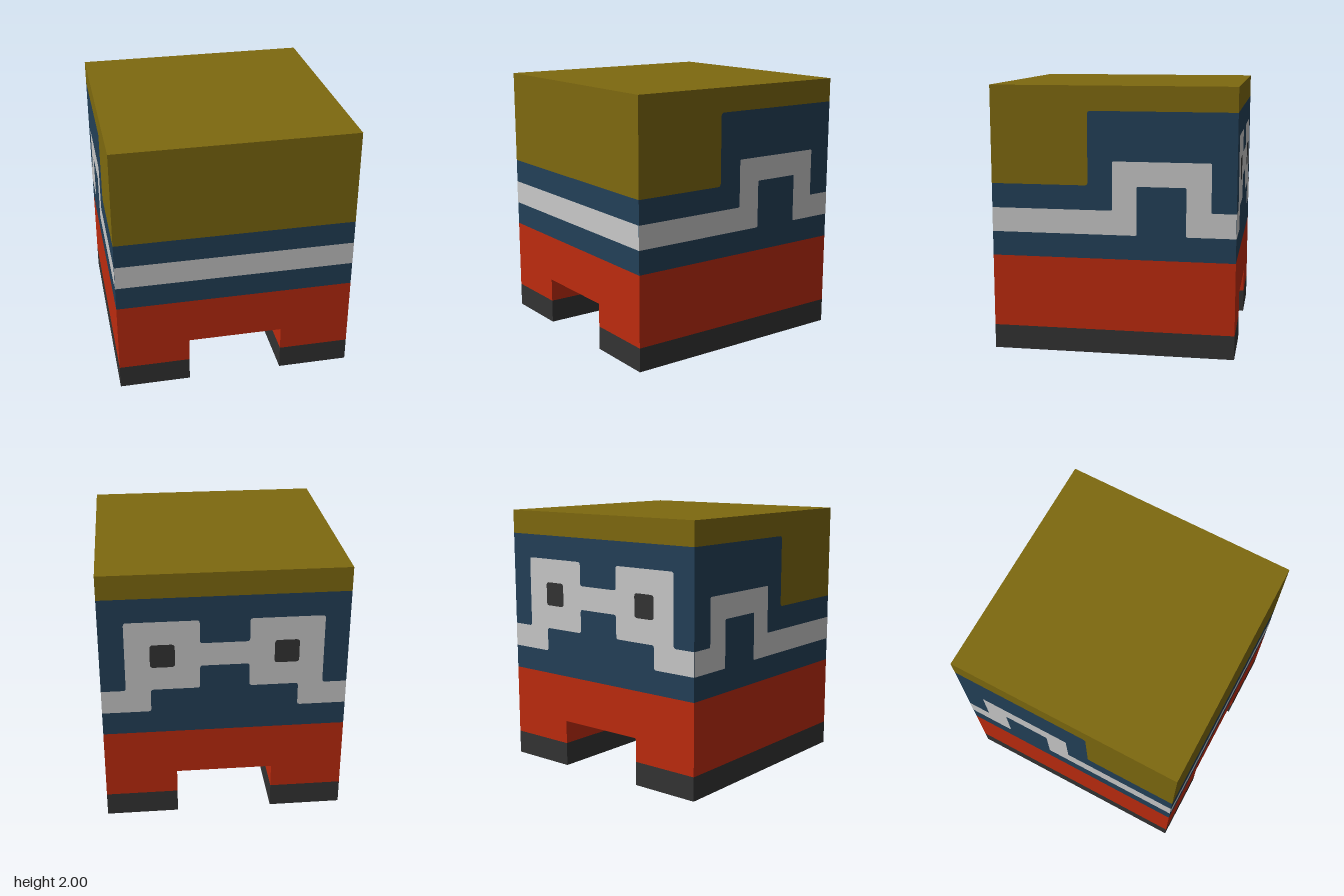
import * as THREE from 'three';

const C = 2 / 11;          // size of one cell: the block is 10 x 11 x 10 cells
const W = 10 * C;

const mat = (name, color) => new THREE.MeshStandardMaterial({ name, color });

// Outline from cell points [across, down from top]; corners off the side edges are rounded.
function outline(points, radius = 0) {
  const pts = points.map(([u, v]) => new THREE.Vector2((u - 5) * C, (11 - v) * C));
  const shape = new THREE.Shape();
  pts.forEach((p, i) => {
    const u = points[i][0];
    const r = u === 0 || u === 10 ? 0 : radius;
    const toward = (q) => p.clone().add(q.clone().sub(p).setLength(r));
    const a = toward(pts.at(i - 1));
    if (i === 0) shape.moveTo(a.x, a.y); else shape.lineTo(a.x, a.y);
    if (r > 0) {
      const b = toward(pts[(i + 1) % pts.length]);
      shape.quadraticCurveTo(p.x, p.y, b.x, b.y);
    }
  });
  shape.closePath();
  return shape;
}

export function createModel() {
  const group = new THREE.Group();
  const mustard = mat('mustard', 0x7e690f);
  const blue = mat('navyBlue', 0x234058);
  const grey = mat('lightGrey', 0xc9c9c9);
  const red = mat('red', 0xbd2b0e);
  const dark = mat('charcoal', 0x333333);

  const add = (name, geometry, material, turn = 0) => {
    const mesh = new THREE.Mesh(geometry, material);
    mesh.name = name;
    mesh.rotation.y = turn;
    group.add(mesh);
    return mesh;
  };

  // Outline pushed through the full width of the block
  const block = (points, radius) => new THREE.ExtrudeGeometry(outline(points, radius),
    { depth: W, bevelEnabled: false, curveSegments: 4 }).translate(0, 0, -W / 2);

  // Painted panel lying just outside one face of the block
  const panel = (points, radius, lift) =>
    new THREE.ShapeGeometry(outline(points, radius), 4).translate(0, 0, W / 2 + lift);

  // Shoes
  for (const [name, s] of [['leftShoe', 1], ['rightShoe', -1]]) {
    add(name, new THREE.BoxGeometry(3 * C, C, W), dark).position.set(s * 3.5 * C, C / 2, 0);
  }

  // Trousers with the gap between the legs
  add('trousers', block([[0, 7], [0, 10], [3, 10], [3, 9], [7, 9], [7, 10], [10, 10], [10, 7]]), red);

  // Head and hood, stepped in side profile (across runs from back to front)
  const step = [[6, 1], [6, 4]];
  add('head', block([[0, 7], [0, 1], ...step, [10, 4], [10, 7]], 0.025), blue, -Math.PI / 2);
  add('hood', block([[0, 0], [0, 1], ...step, [10, 4], [10, 0]], 0.025), mustard, -Math.PI / 2);

  // Plain stripe on the front
  add('frontStripe', panel([[0, 5], [0, 6], [10, 6], [10, 5]], 0, 0.002), grey);

  // Arched stripe on both sides
  const arch = [[0, 5], [1, 5], [1, 3], [5, 3], [5, 5], [10, 5],
    [10, 6], [4, 6], [4, 4], [2, 4], [2, 6], [0, 6]];
  const mirrored = arch.map(([u, v]) => [10 - u, v]);
  add('rightSideStripe', panel(arch, 0.012, 0.002), grey, -Math.PI / 2);
  add('leftSideStripe', panel(mirrored, 0.012, 0.002), grey, Math.PI / 2);

  // Spectacle-shaped mask on the back, built from one half and its mirror
  const half = [[4, 3], [4, 2], [1, 2], [1, 5], [0, 5], [0, 6], [2, 6], [2, 5], [4, 5], [4, 4]];
  const otherHalf = half.map(([u, v]) => [10 - u, v]).reverse();
  add('mask', panel([...half, ...otherHalf], 0.022, 0.002), grey, Math.PI);

  // Eyes
  for (const [name, u] of [['leftEye', 2], ['rightEye', 7]]) {
    add(name, panel([[u, 3], [u, 4], [u + 1, 4], [u + 1, 3]], 0.025, 0.004), dark, Math.PI);
  }

  return group;
}
